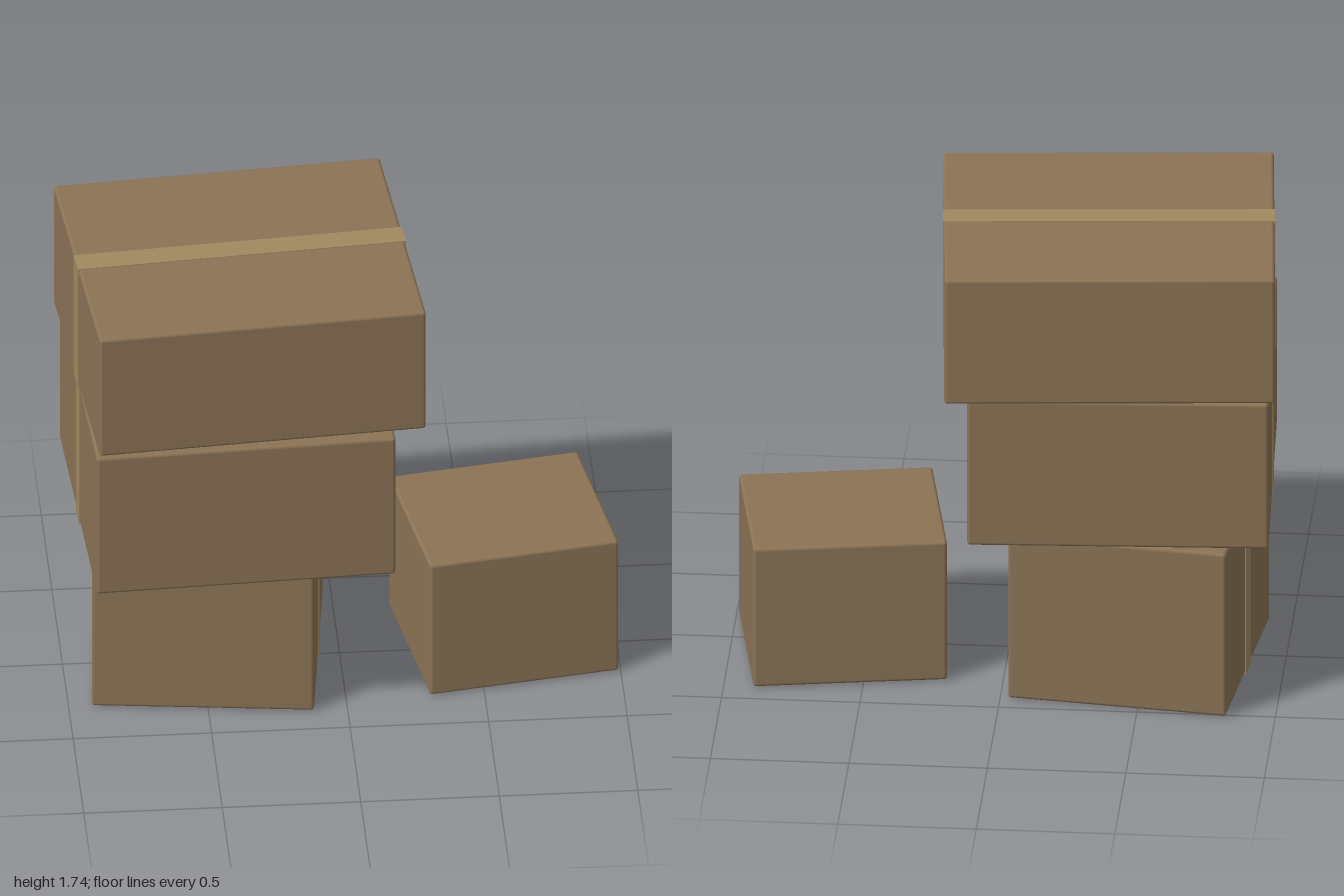
import * as THREE from 'three';
import { RoundedBoxGeometry } from 'three/addons/geometries/RoundedBoxGeometry.js';

const cardboard = new THREE.MeshStandardMaterial({ color: 0x8b7355 });
const tapeColor = new THREE.MeshStandardMaterial({ color: 0xa08960 });

const LIFT = 0.003; // how far the tape stands off the cardboard
const TAPE_WIDTH = 0.095;

// One carton, centred on its own footprint, with an optional band of tape around it
function makeCarton({ name, size: [w, h, d], at: [x, y, z], turn, taped }) {
  const carton = new THREE.Group();
  carton.name = name;

  const body = new THREE.Mesh(new RoundedBoxGeometry(w, h, d, 2, 0.012), cardboard);
  body.name = 'cartonBody';
  carton.add(body);

  if (taped) {
    const band = new THREE.Mesh(
      new THREE.BoxGeometry(w + 2 * LIFT, h + 2 * LIFT, TAPE_WIDTH), tapeColor);
    band.name = 'packingTape';
    carton.add(band);
  }

  carton.position.set(x, y + h / 2, z);
  carton.rotation.y = turn;
  return carton;
}

export function createModel() {
  const model = new THREE.Group();
  model.name = 'cartonStack';

  // Three stacked cartons, each turned a little, and a small one beside them
  const cartons = [
    { name: 'bottomCarton', size: [0.80, 0.65, 0.82], at: [-0.472, LIFT, -0.067], turn: -0.115, taped: true },
    { name: 'middleCarton', size: [1.085, 0.58, 1.06], at: [-0.405, 0.66, 0.022], turn: 0.05, taped: true },
    { name: 'topCarton', size: [1.19, 0.497, 1.055], at: [-0.36, 1.243, -0.003], turn: 0.083, taped: true },
    { name: 'smallCarton', size: [0.70, 0.553, 0.623], at: [0.597, LIFT, -0.049], turn: 0.165, taped: false },
  ];
  for (const spec of cartons) model.add(makeCarton(spec));

  return model;
}
